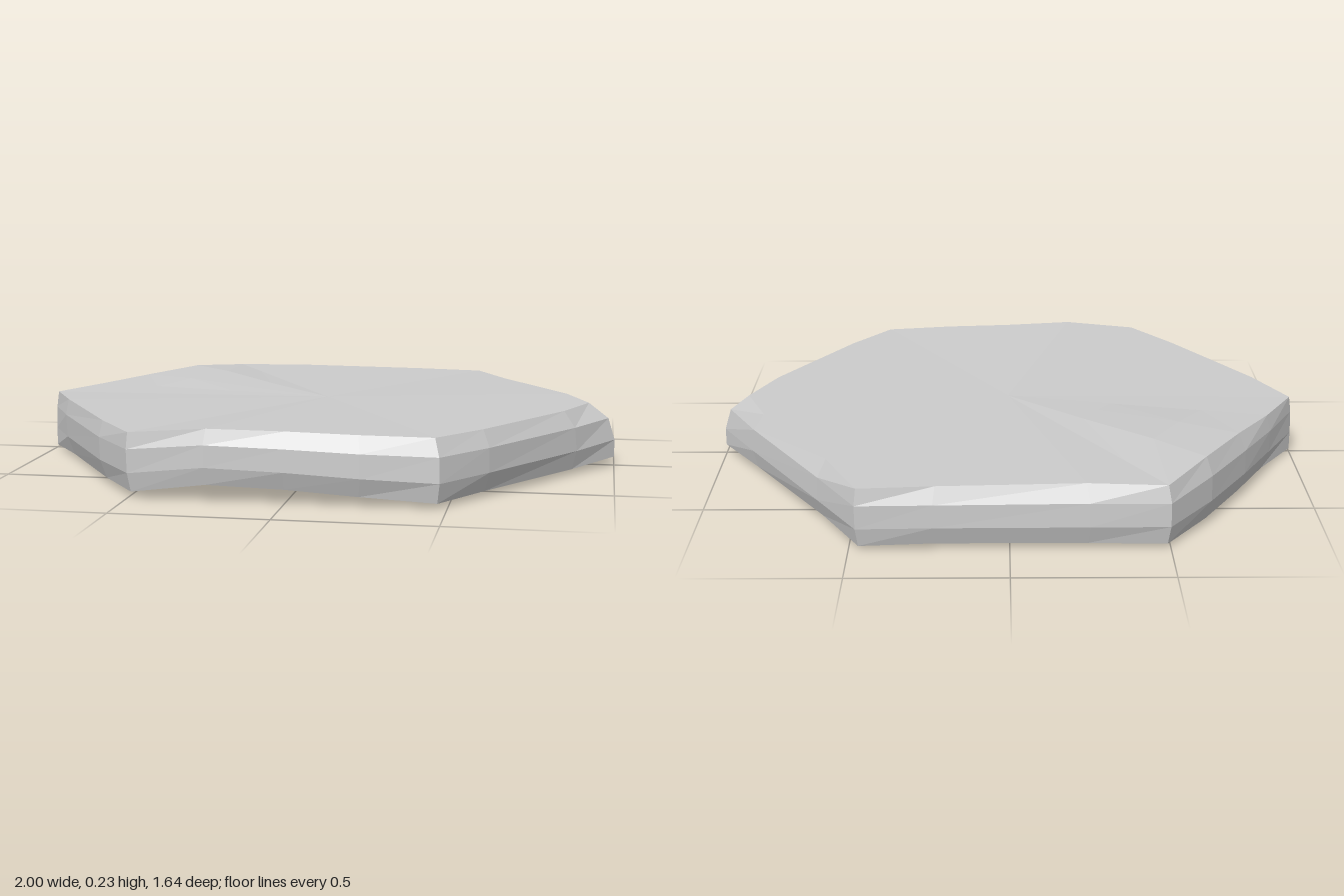
import * as THREE from 'three';

// Rim points of the worn hexagon: x, z, bottom y, top y, bottom inset, top inset
const RIM = [
  [-1, 0, 0.01, 0.205, 0.0, 0.01],
  [-0.9, 0.2, 0.015, 0.21, 0.03, 0.015],
  [-0.65, 0.61, 0.02, 0.21, 0.03, 0.02],
  [-0.5, 0.8, 0.02, 0.21, 0.02, 0.01],
  [-0.25, 0.825, 0.055, 0.23, 0.02, 0.025],
  [0, 0.82, 0.045, 0.225, 0.03, 0.04],
  [0.24, 0.82, 0.03, 0.22, 0.035, 0.045],
  [0.48, 0.79, 0.015, 0.215, 0.02, 0.04],
  [0.62, 0.61, 0.02, 0.215, 0.03, 0.04],
  [0.88, 0.2, 0.02, 0.215, 0.02, 0.05],
  [1, 0, 0.03, 0.215, 0.0, 0.09],
  [0.88, -0.2, 0.025, 0.215, 0.02, 0.05],
  [0.62, -0.61, 0.02, 0.21, 0.03, 0.05],
  [0.48, -0.815, 0.01, 0.205, 0.02, 0.015],
  [0.24, -0.83, 0.02, 0.21, 0.03, 0.035],
  [-0.25, -0.83, 0.02, 0.215, 0.03, 0.045],
  [-0.5, -0.815, 0.015, 0.21, 0.02, 0.025],
  [-0.65, -0.63, 0.015, 0.228, 0.03, 0.035],
  [-0.79, -0.4, 0.015, 0.22, 0.03, 0.035],
  [-0.9, -0.2, 0.015, 0.21, 0.03, 0.02],
];

const lerp = THREE.MathUtils.lerp;

// Upper face: eases from the rim height to the middle, with one low swelling
function topHeight(x, z, yTop, s) {
  const bump = 0.02 * Math.exp(-((x + 0.6) ** 2 + (z + 0.42) ** 2) / 0.03);
  return lerp(0.212, yTop, s) + bump * (1 - s) * 2;
}

function slabGeometry() {
  const n = RIM.length;
  const rings = [];
  const addRing = (fn) => rings.push(RIM.map((p) => fn(...p)));
  const inward = (x, z, d) => 1 - d / Math.hypot(x, z);

  // Underside, from its middle out to the lower rim
  for (const s of [0, 0.4, 0.75, 1]) {
    addRing((x, z, yb, yt, ib) => {
      const k = s * inward(x, z, ib);
      return [x * k, yb * s ** 4, z * k];
    });
  }
  // Rounded side
  addRing((x, z, yb, yt, ib) => {
    const k = inward(x, z, ib * 0.25);
    return [x * k, lerp(yb, yt, 0.32), z * k];
  });
  addRing((x, z, yb, yt, ib, it) => {
    const k = inward(x, z, it * 0.25);
    return [x * k, lerp(yb, yt, 0.72), z * k];
  });
  // Upper face, from the rim back to its middle
  for (const s of [1, 0.75, 0.4, 0]) {
    addRing((x, z, yb, yt, ib, it) => {
      const k = s * inward(x, z, it);
      return [x * k, topHeight(x * k, z * k, yt, s), z * k];
    });
  }

  // Join neighbouring rings; the end rings collapse to a point
  const index = [];
  const last = rings.length - 2;
  for (let r = 0; r <= last; r++) {
    for (let i = 0; i < n; i++) {
      const j = (i + 1) % n;
      const a = r * n + i, b = r * n + j, c = a + n, d = b + n;
      if (r > 0) index.push(a, b, d);
      if (r < last) index.push(a, d, c);
      if (r === last) continue;
    }
  }
  const geo = new THREE.BufferGeometry();
  geo.setAttribute('position', new THREE.Float32BufferAttribute(rings.flat(2), 3));
  geo.setIndex(index);
  geo.computeVertexNormals();
  return geo;
}

export function createModel() {
  const group = new THREE.Group();
  group.name = 'hexagonalPavingStone';
  const stone = new THREE.Mesh(
    slabGeometry(),
    new THREE.MeshStandardMaterial({ color: 0xcccccc, flatShading: true })
  );
  stone.name = 'stoneSlab';
  group.add(stone);
  return group;
}
